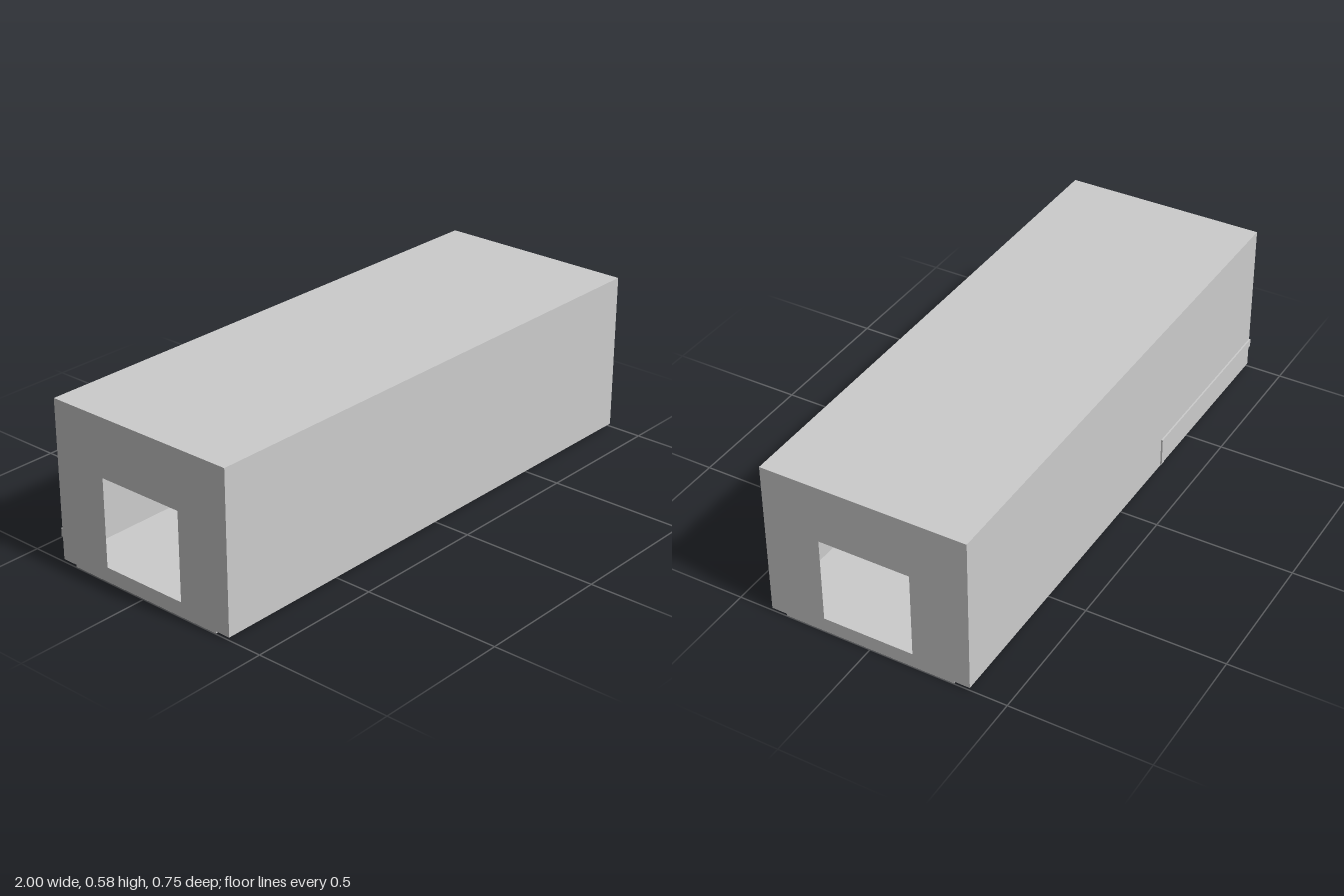
import * as THREE from 'three';

const BOTTOM = 0.01, TOP = 0.583, FRONT = 0.374, BACK = -0.367;
const HEIGHT = TOP - BOTTOM, DEPTH = FRONT - BACK;
const MID_Y = (TOP + BOTTOM) / 2, MID_Z = (FRONT + BACK) / 2;

export function createModel() {
  const group = new THREE.Group();
  const material = new THREE.MeshStandardMaterial({ color: 0xcccccc, side: THREE.DoubleSide });

  const add = (name, geometry, x = 0, y = 0, z = 0) => {
    const mesh = new THREE.Mesh(geometry, material);
    mesh.name = name;
    mesh.position.set(x, y, z);
    group.add(mesh);
    return mesh;
  };
  const shapeOf = (points) => new THREE.Shape(points.map(([a, b]) => new THREE.Vector2(a, b)));
  const rectangle = (a0, a1, b0, b1) => [[a0, b0], [a1, b0], [a1, b1], [a0, b1]];

  // Thin outer skin of the hollow block
  add('frontWall', new THREE.PlaneGeometry(2, HEIGHT), 0, MID_Y, FRONT);
  add('backWall', new THREE.PlaneGeometry(2, HEIGHT).rotateY(Math.PI), 0, MID_Y, BACK);
  add('roof', new THREE.PlaneGeometry(2, DEPTH).rotateX(-Math.PI / 2), 0, TOP, MID_Z);
  add('floor', new THREE.PlaneGeometry(2, DEPTH).rotateX(Math.PI / 2), 0, BOTTOM, MID_Z);

  // End walls with a square opening; sides are mirrored in z so normals face out
  for (const side of [-1, 1]) {
    const zs = (list) => list.map(([z, y]) => [-side * z, y]);
    const wall = shapeOf(zs(rectangle(BACK, FRONT, BOTTOM, TOP)));
    wall.holes.push(shapeOf(zs(rectangle(-0.16, 0.17, 0.055, 0.372))));
    const geometry = new THREE.ShapeGeometry(wall).rotateY(side * Math.PI / 2);
    add(side > 0 ? 'leftEndWall' : 'rightEndWall', geometry, side);
  }

  // Low toothed ridge across the inside of the tunnel
  const teeth = 44, ridge = [[-0.17, BOTTOM], [-0.17, 0.055]];
  for (let i = 0; i < teeth; i++) {
    const z = -0.17 + (0.34 * i) / teeth;
    ridge.push([z + 0.17 / teeth, 0.07], [z + 0.34 / teeth, 0.055]);
  }
  ridge.push([0.17, BOTTOM]);
  add('toothedRidge', new THREE.ShapeGeometry(shapeOf(ridge)).rotateY(Math.PI / 2));

  // Base plates: outlines in x and z, extruded up to the floor
  const plate = (name, outline, low) => {
    const geometry = new THREE.ExtrudeGeometry(shapeOf(outline), { depth: BOTTOM - low, bevelEnabled: false });
    add(name, geometry.rotateX(Math.PI / 2), 0, BOTTOM);
  };
  plate('middleBasePlate', rectangle(-0.368, 0.478, -0.352, 0.36), 0);
  for (const side of [-1, 1]) {
    const outline = [
      [1, -0.31], [0.66, -0.31], [0.505, -0.15], [0.505, 0.16], [0.66, 0.318], [1, 0.318],
    ].map(([x, z]) => [side * x, z]);
    plate(side > 0 ? 'leftBasePlate' : 'rightBasePlate', outline, 0.002);
  }

  // Raised angled trim on the back wall
  const trim = shapeOf([
    [-1, 0.122], [-0.285, 0.122], [-0.285, 0.017], [-0.302, 0.017], [-0.302, 0.092], [-1, 0.092],
  ]);
  add('backTrim', new THREE.ExtrudeGeometry(trim, { depth: 0.006, bevelEnabled: false }), 0, 0, BACK - 0.006);

  return group;
}
